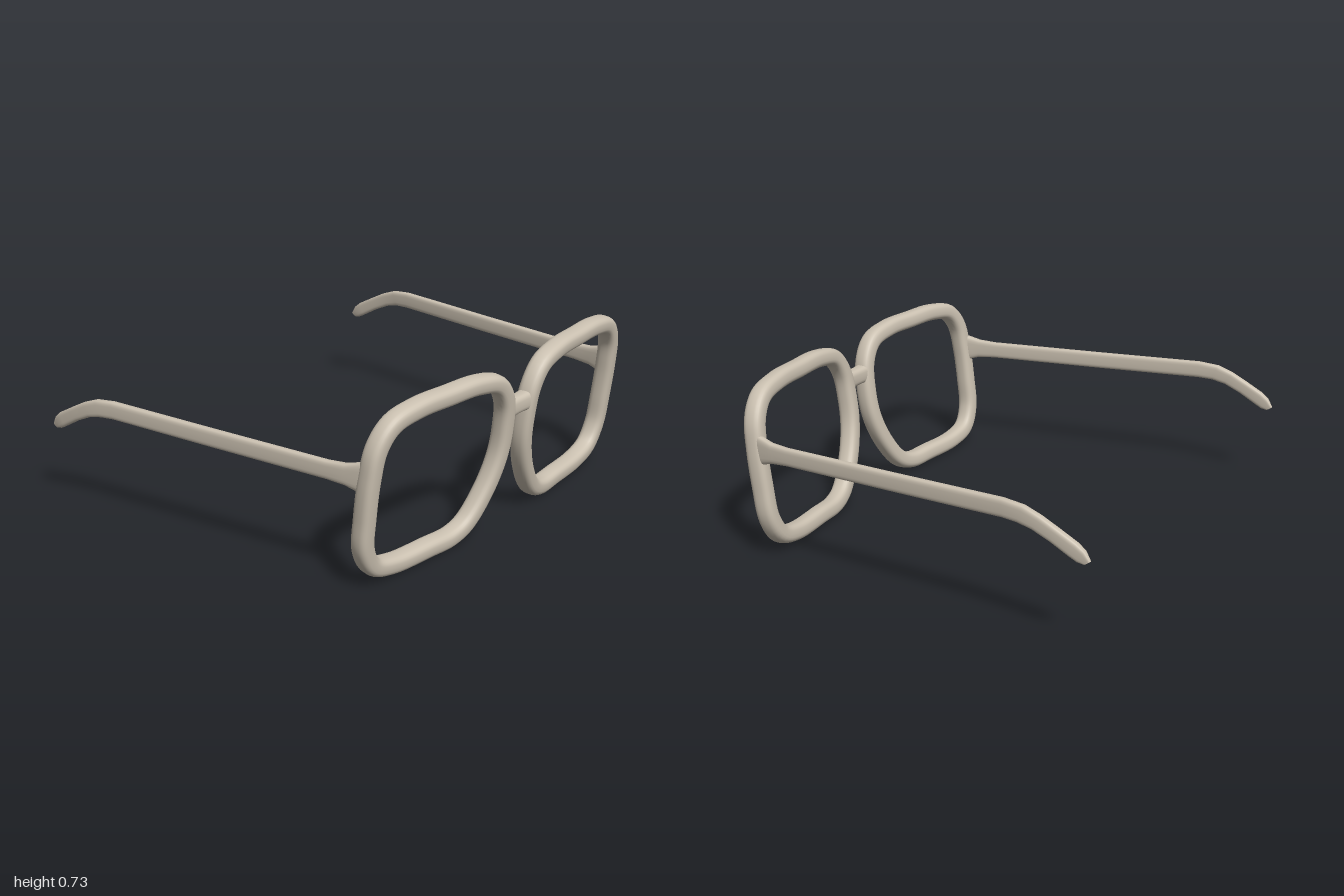
import * as THREE from 'three';

// Point on a rounded-square section; n = 2 is an ellipse, higher is squarer
function squircle(angle, n) {
  const c = Math.cos(angle), s = Math.sin(angle), e = 2 / n;
  return [Math.sign(c) * Math.abs(c) ** e, Math.sign(s) * Math.abs(s) ** e];
}

// Ring of points round a centre, a and b being the half-axis vectors
function ring(center, a, b, n, count = 24) {
  return Array.from({ length: count }, (_, j) => {
    const [u, v] = squircle((j / count) * Math.PI * 2, n);
    return center.clone().addScaledVector(a, u).addScaledVector(b, v);
  });
}

// Skin over a row of rings: either a closed loop or a bar with flat caps
function loft(rings, closed) {
  const count = rings[0].length, pos = [], index = [];
  rings.forEach(r => r.forEach(p => pos.push(p.x, p.y, p.z)));
  const spans = closed ? rings.length : rings.length - 1;
  for (let i = 0; i < spans; i++) {
    for (let j = 0; j < count; j++) {
      const k = (j + 1) % count, next = ((i + 1) % rings.length) * count;
      const A = i * count + j, B = i * count + k, C = next + k, D = next + j;
      index.push(A, B, C, A, C, D);
    }
  }
  if (!closed) {
    for (const end of [false, true]) {
      const r = rings[end ? rings.length - 1 : 0], base = pos.length / 3;
      r.forEach(p => pos.push(p.x, p.y, p.z));
      for (let j = 1; j < count - 1; j++) {
        index.push(base, ...(end ? [base + j, base + j + 1] : [base + j + 1, base + j]));
      }
    }
  }
  const g = new THREE.BufferGeometry();
  g.setAttribute('position', new THREE.Float32BufferAttribute(pos, 3));
  g.setIndex(index);
  g.computeVertexNormals();
  return g;
}

// Copy reflected across x = 0 with its faces turned outward again
function mirrored(geometry) {
  const g = geometry.clone(), p = g.attributes.position, ix = g.index;
  for (let i = 0; i < p.count; i++) p.setX(i, -p.getX(i));
  for (let i = 0; i < ix.count; i += 3) {
    const t = ix.getX(i);
    ix.setX(i, ix.getX(i + 1));
    ix.setX(i + 1, t);
  }
  g.computeVertexNormals();
  return g;
}

const V = (x, y, z) => new THREE.Vector3(x, y, z);
// The front leans forward at the top and wraps back toward the sides
const frontZ = (x, y) => 0.793 - 0.092 * (x - 0.245) + 0.125 * (y - 0.688);

// Rim: squarish loop, cut away beside the nose
function rimGeometry() {
  const outline = [
    [0.45, 0.688], [0.62, 0.685], [0.75, 0.655], [0.813, 0.58], [0.833, 0.46],
    [0.835, 0.3], [0.825, 0.17], [0.77, 0.082], [0.66, 0.048], [0.45, 0.043],
    [0.32, 0.045], [0.235, 0.08], [0.14, 0.2], [0.087, 0.33], [0.077, 0.45],
    [0.093, 0.57], [0.155, 0.653], [0.28, 0.685],
  ];
  const curve = new THREE.CatmullRomCurve3(outline.map(([x, y]) => V(x, y, frontZ(x, y))), true);
  const normal = V(0.092, -0.125, 1).normalize();
  const rings = [];
  for (let i = 0; i < 120; i++) {
    const t = curve.getTangentAt(i / 120);
    const out = normal.clone().cross(t).normalize();
    rings.push(ring(curve.getPointAt(i / 120), out.multiplyScalar(0.038),
      normal.clone().multiplyScalar(0.041), 2.7));
  }
  return loft(rings, true);
}

// Temple: flat bar running back and dropping behind the ear
function templeGeometry() {
  // [top z, top y, bottom z, bottom y, x, half thickness]
  const stations = [
    [0.69, 0.527, 0.69, 0.402, 0.842, 0.02], [0.62, 0.508, 0.62, 0.423, 0.853, 0.019],
    [0.54, 0.503, 0.54, 0.429, 0.862, 0.018], [0, 0.511, 0, 0.437, 0.918, 0.018],
    [-0.48, 0.52, -0.48, 0.446, 0.968, 0.018], [-0.57, 0.511, -0.545, 0.442, 0.976, 0.018],
    [-0.64, 0.485, -0.605, 0.429, 0.98, 0.018], [-0.71, 0.449, -0.68, 0.396, 0.981, 0.018],
    [-0.785, 0.409, -0.755, 0.354, 0.981, 0.017], [-0.816, 0.384, -0.785, 0.338, 0.98, 0.015],
    [-0.837, 0.348, -0.812, 0.332, 0.98, 0.008],
  ];
  return loft(stations.map(([tz, ty, bz, by, x, w]) => ring(
    V(x, (ty + by) / 2, (tz + bz) / 2),
    V(0, (ty - by) / 2, (tz - bz) / 2), V(w, 0, 0), 3.5)), false);
}

// Bridge: short bar, slightly thicker where it meets the rims
function bridgeGeometry() {
  return loft([[-0.065, 1.08], [-0.045, 1.03], [-0.02, 1], [0.02, 1], [0.045, 1.03], [0.065, 1.08]]
    .map(([x, s]) => ring(V(x, 0.527, 0.788), V(0, 0.038 * s, 0), V(0, 0, 0.032 * s), 3)), false);
}

export function createModel() {
  const model = new THREE.Group();
  model.name = 'eyeglassFrame';
  const frame = new THREE.MeshStandardMaterial({ color: 0xcbc1b1 });
  frame.name = 'warm beige';

  const add = (name, geometry) => {
    const mesh = new THREE.Mesh(geometry, frame);
    mesh.name = name;
    model.add(mesh);
  };
  const rim = rimGeometry(), temple = templeGeometry();
  add('leftRim', rim);
  add('rightRim', mirrored(rim));
  add('leftTemple', temple);
  add('rightTemple', mirrored(temple));
  add('bridge', bridgeGeometry());
  return model;
}
